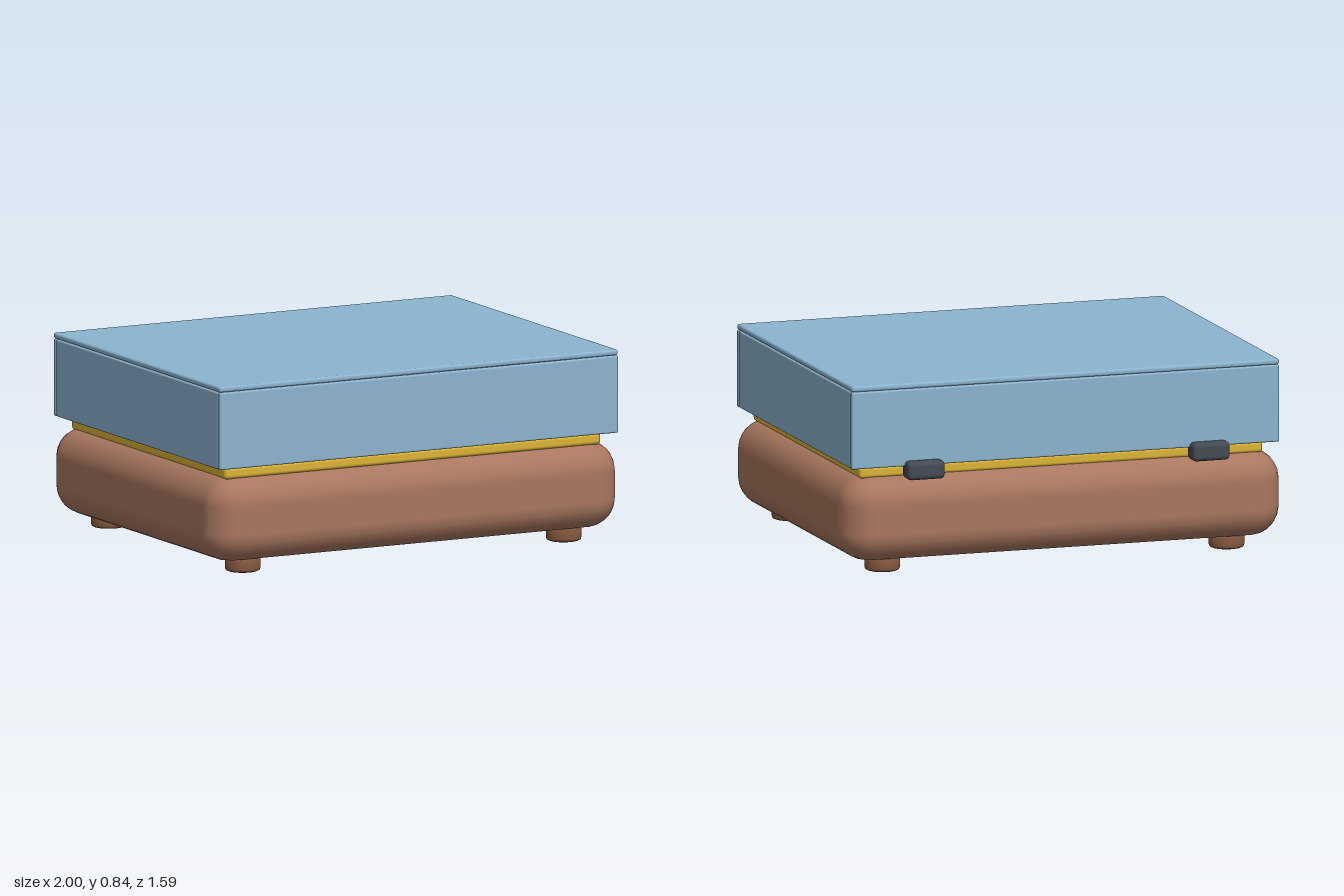
import * as THREE from 'three';
import { RoundedBoxGeometry } from 'three/addons/geometries/RoundedBoxGeometry.js';

export function createModel() {
  const model = new THREE.Group();
  model.name = 'liddedCase';

  const material = (name, color) => {
    const m = new THREE.MeshStandardMaterial({ color });
    m.name = name;
    return m;
  };
  const brown = material('brown body', 0xa9775f);
  const darkBrown = material('dark brown feet', 0x85583f);
  const yellow = material('yellow deck', 0xdbb436);
  const blue = material('blue lid', 0x8cb4cf);
  const charcoal = material('charcoal hinges', 0x434a54);

  // Rounded box given by its limits on each axis
  const box = (name, mat, [x0, x1], [y0, y1], [z0, z1], radius, segments, parent = model) => {
    const mesh = new THREE.Mesh(
      new RoundedBoxGeometry(x1 - x0, y1 - y0, z1 - z0, segments, radius), mat);
    mesh.position.set((x0 + x1) / 2, (y0 + y1) / 2, (z0 + z1) / 2);
    mesh.name = name;
    parent.add(mesh);
    return mesh;
  };

  // Soft body with a thin deck on top
  box('body', brown, [-1, 1], [0.055, 0.435], [-0.77, 0.79], 0.13, 3);
  box('deck', yellow, [-0.92, 0.92], [0.42, 0.475], [-0.69, 0.72], 0.018, 3);

  // Hollow lid: four thin walls and a top panel
  const lid = new THREE.Group();
  lid.name = 'lid';
  model.add(lid);
  const wallY = [0.476, 0.814];
  box('lidTop', blue, [-0.975, 0.975], [0.815, 0.84], [-0.747, 0.771], 0.01, 2, lid);
  box('lidFront', blue, [-0.975, 0.975], wallY, [0.75, 0.775], 0.008, 2, lid);
  box('lidBack', blue, [-0.975, 0.975], wallY, [-0.747, -0.722], 0.008, 2, lid);
  box('lidLeft', blue, [0.95, 0.975], wallY, [-0.722, 0.75], 0.008, 2, lid);
  box('lidRight', blue, [-0.975, -0.95], wallY, [-0.722, 0.75], 0.008, 2, lid);

  // Two hinges at the back
  for (const x of [-0.65, 0.65]) {
    box('hinge', charcoal, [x - 0.085, x + 0.085], [0.42, 0.5], [-0.797, -0.71], 0.02, 3);
  }

  // Round feet with softened lower rims
  const footProfile = [[0, 0], [0.064, 0], [0.073, 0.004], [0.077, 0.014], [0.077, 0.05], [0.07, 0.06], [0, 0.06]]
    .map(([r, y]) => new THREE.Vector2(r, y));
  const footGeometry = new THREE.LatheGeometry(footProfile, 32);
  for (const x of [-0.785, 0.785]) {
    for (const z of [-0.595, 0.625]) {
      const foot = new THREE.Mesh(footGeometry, darkBrown);
      foot.position.set(x, 0, z);
      foot.name = 'foot';
      model.add(foot);
    }
  }
  return model;
}
